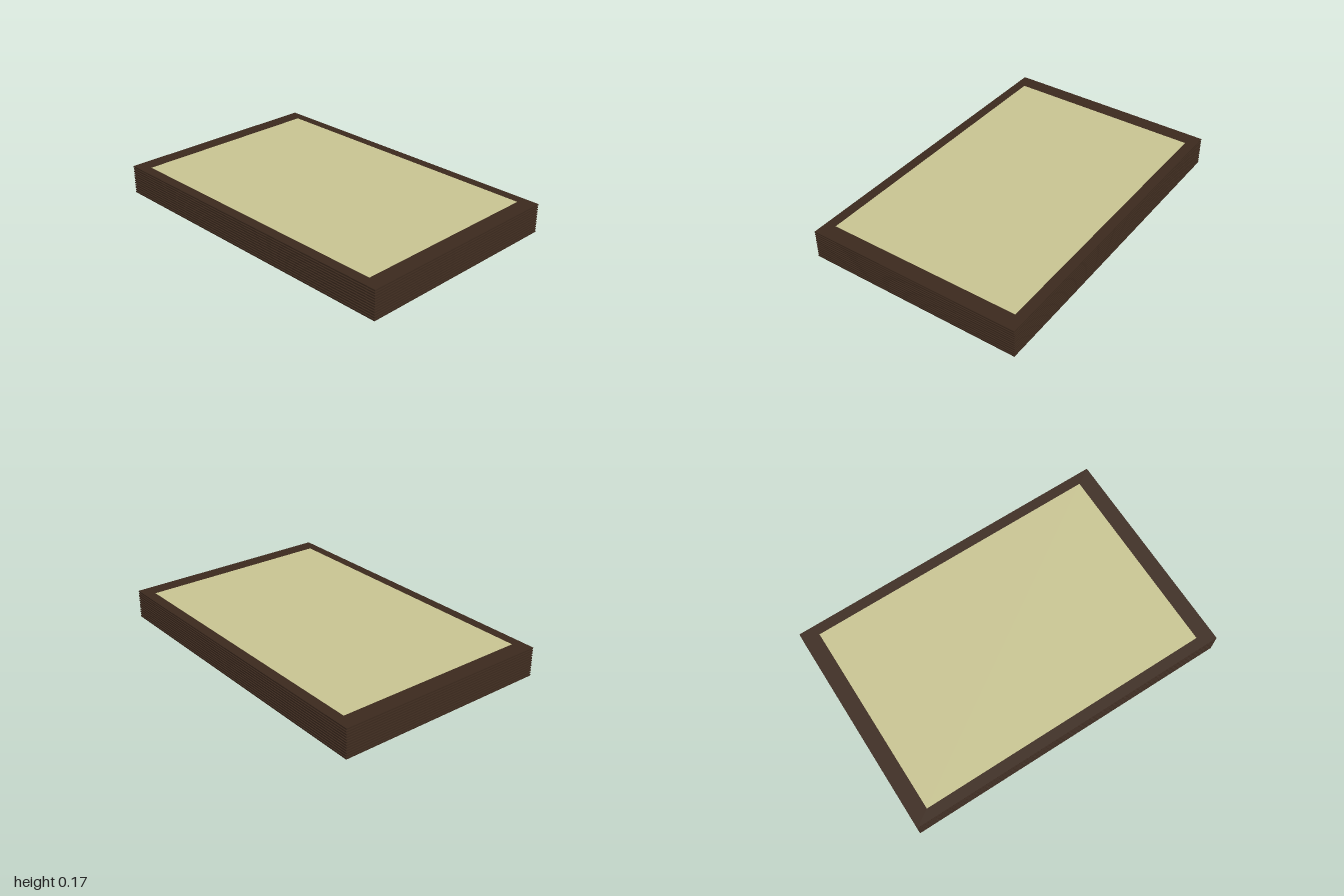
import * as THREE from 'three';

// A stack of thin, evenly spaced dark sheets, each with a pale inset panel on top.
export function createModel() {
  const model = new THREE.Group();
  model.name = 'sheetStack';

  const count = 12, height = 0.174, sheetH = 0.008, panelH = 0.001;
  const step = (height - sheetH - panelH) / (count - 1);

  const brown = new THREE.MeshStandardMaterial({ color: 0x3c2a1e });
  const cream = new THREE.MeshStandardMaterial({ color: 0xcac693 });
  const sheetGeometry = new THREE.BoxGeometry(2, sheetH, 1.315);
  const panelGeometry = new THREE.BoxGeometry(1.805, panelH, 1.19);

  for (let i = 0; i < count; i++) {
    const layer = new THREE.Group();
    layer.name = `layer${i + 1}`;
    layer.position.y = i * step;

    // dark backing sheet
    const sheet = new THREE.Mesh(sheetGeometry, brown);
    sheet.name = 'sheet';
    sheet.position.y = sheetH / 2;

    // pale panel lying on the sheet
    const panel = new THREE.Mesh(panelGeometry, cream);
    panel.name = 'panel';
    panel.position.y = sheetH + panelH / 2;

    layer.add(sheet, panel);
    model.add(layer);
  }
  return model;
}
